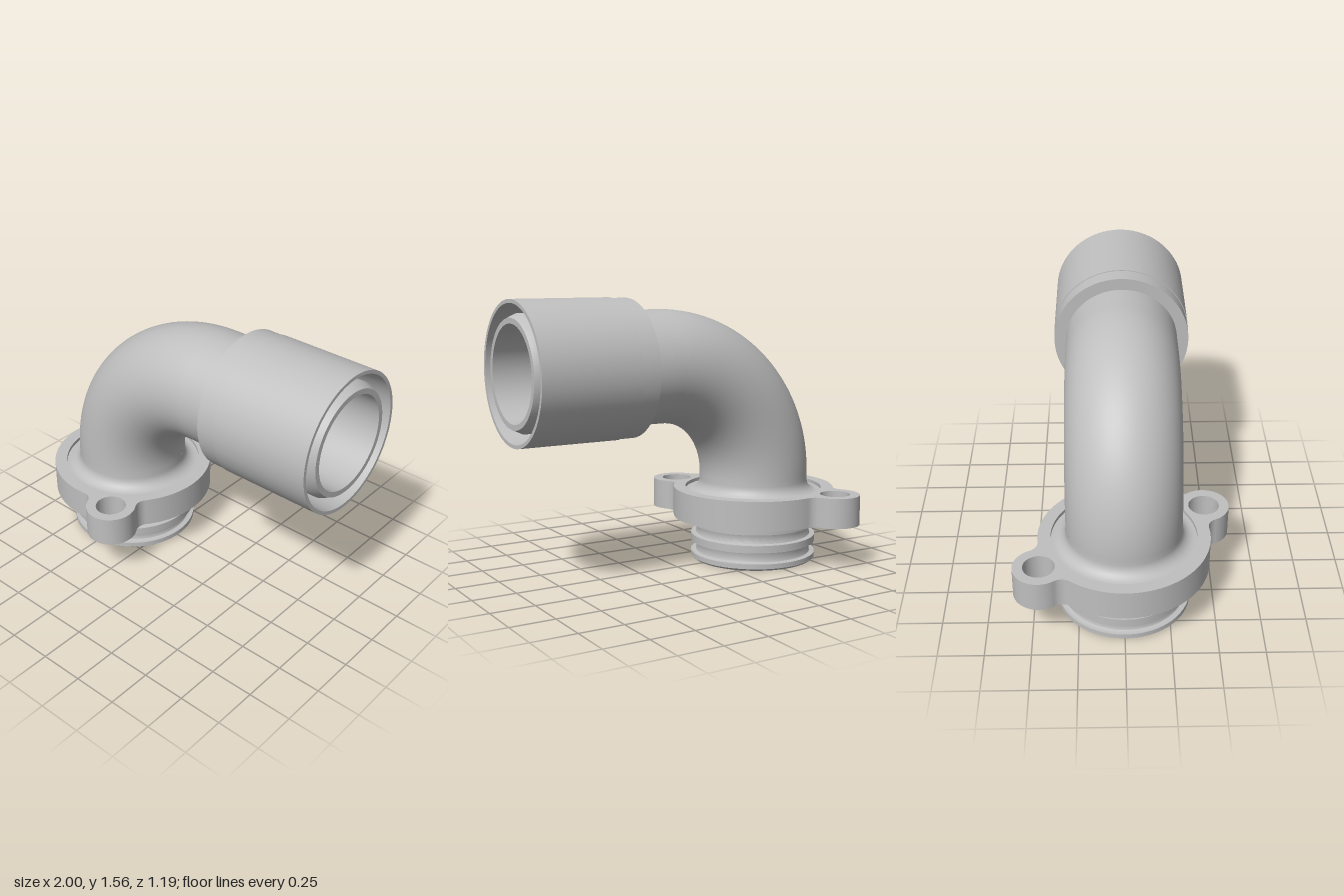
import * as THREE from 'three';
import { toCreasedNormals } from 'three/addons/utils/BufferGeometryUtils.js';

const INLET_X = -0.527, OUTLET_Y = 1.17;   // pipe axes
const PIPE_R = 0.318, BORE_R = 0.262;
const BEND_R = 0.655;
const BEND_X = INLET_X + BEND_R, BEND_Y = OUTLET_Y - BEND_R;

const grey = new THREE.MeshStandardMaterial({ color: 0xbfbfbf, side: THREE.DoubleSide });
grey.name = 'grey plastic';

function part(name, geometry) {
  const mesh = new THREE.Mesh(geometry, grey);
  mesh.name = name;
  return mesh;
}

// Revolve a [radius, height] profile, keeping hard edges sharp
function revolve(profile) {
  const points = profile.map(([r, h]) => new THREE.Vector2(r, h));
  return toCreasedNormals(new THREE.LatheGeometry(points, 96), 0.5);
}

// Ring groove with rounded corners between two heights
function groove(y0, y1, outer, inner) {
  const f = 0.012;
  return [
    [outer, y0], [inner + f, y0], [inner + f * 0.3, y0 + f * 0.3], [inner, y0 + f],
    [inner, y1 - f], [inner + f * 0.3, y1 - f * 0.3], [inner + f, y1], [outer, y1],
  ];
}

function spigot() {
  const f = 0.07, fillet = [];
  for (let i = 0; i <= 8; i++) {
    const a = (i / 8) * Math.PI / 2;
    fillet.push([PIPE_R + f - f * Math.sin(a), 0.408 + f - f * Math.cos(a)]);
  }
  return revolve([
    [BORE_R, BEND_Y], [BORE_R + 0.01, 0.42], [0.318, 0.05], [0.322, 0],
    [0.355, 0], [0.369, 0.012],
    ...groove(0.04, 0.105, 0.369, 0.336),
    ...groove(0.148, 0.21, 0.369, 0.336),
    [0.369, 0.27], [0.402, 0.27], [0.402, 0.408],
    ...fillet, [PIPE_R, BEND_Y],
  ]);
}

// Straight pipe, socket sleeve and the inner nozzle, revolved about x
function outlet() {
  const g = revolve([
    [PIPE_R, BEND_X], [PIPE_R, 0.325], [0.384, 0.325], [0.384, 0.43],
    [0.388, 0.43], [0.388, 1], [0.368, 1], [0.343, 0.6],
    [0.315, 0.6], [0.315, 0.95], [0.292, 1], [BORE_R, 1], [BORE_R, BEND_X],
  ]);
  return g.rotateZ(-Math.PI / 2).translate(0, OUTLET_Y, 0);
}

function bend(radius) {
  return new THREE.TorusGeometry(BEND_R, radius, 72, 48, Math.PI / 2)
    .rotateZ(Math.PI / 2).translate(BEND_X, BEND_Y, 0);
}

// Round flange with two opposite bolt ears blended in by fillets
function flange() {
  const R = 0.473, ear = 0.142, f = 0.07;
  const ex = -0.258, ey = 0.455, d = Math.hypot(ex, ey);
  const along = (d * d + (R + f) ** 2 - (ear + f) ** 2) / (2 * d);
  const beta = Math.acos(along / (R + f));
  const shape = new THREE.Shape();
  const first = Math.atan2(ey, ex);
  for (let k = 0; k < 2; k++) {
    const t = first + k * Math.PI;
    const cx = d * Math.cos(t), cy = d * Math.sin(t);
    const [a, b] = [t - beta, t + beta].map((angle) => {
      const x = (R + f) * Math.cos(angle), y = (R + f) * Math.sin(angle);
      return { x, y, angle, toEar: Math.atan2(cy - y, cx - x) };
    });
    shape.absarc(a.x, a.y, f, a.angle + Math.PI, a.toEar, true);
    shape.absarc(cx, cy, ear, a.toEar + Math.PI, b.toEar + Math.PI, false);
    shape.absarc(b.x, b.y, f, b.toEar, b.angle + Math.PI, true);
    shape.absarc(0, 0, R, b.angle, t + Math.PI - beta, false);
    shape.holes.push(new THREE.Path().absarc(cx, cy, 0.086, 0, Math.PI * 2, true));
  }
  shape.holes.push(new THREE.Path().absarc(0, 0, 0.402, 0, Math.PI * 2, true));
  const g = new THREE.ExtrudeGeometry(shape, { depth: 0.173, bevelEnabled: false, curveSegments: 40 });
  return toCreasedNormals(g.rotateX(-Math.PI / 2).translate(INLET_X, 0.255, 0), 0.5);
}

export function createModel() {
  const model = new THREE.Group();
  model.name = 'pipeElbow';
  model.add(
    part('grooveSpigot', spigot().translate(INLET_X, 0, 0)),
    part('boltFlange', flange()),
    part('elbowOuterWall', bend(PIPE_R)),
    part('elbowBore', bend(BORE_R)),
    part('outletSocket', outlet()),
  );
  return model;
}
